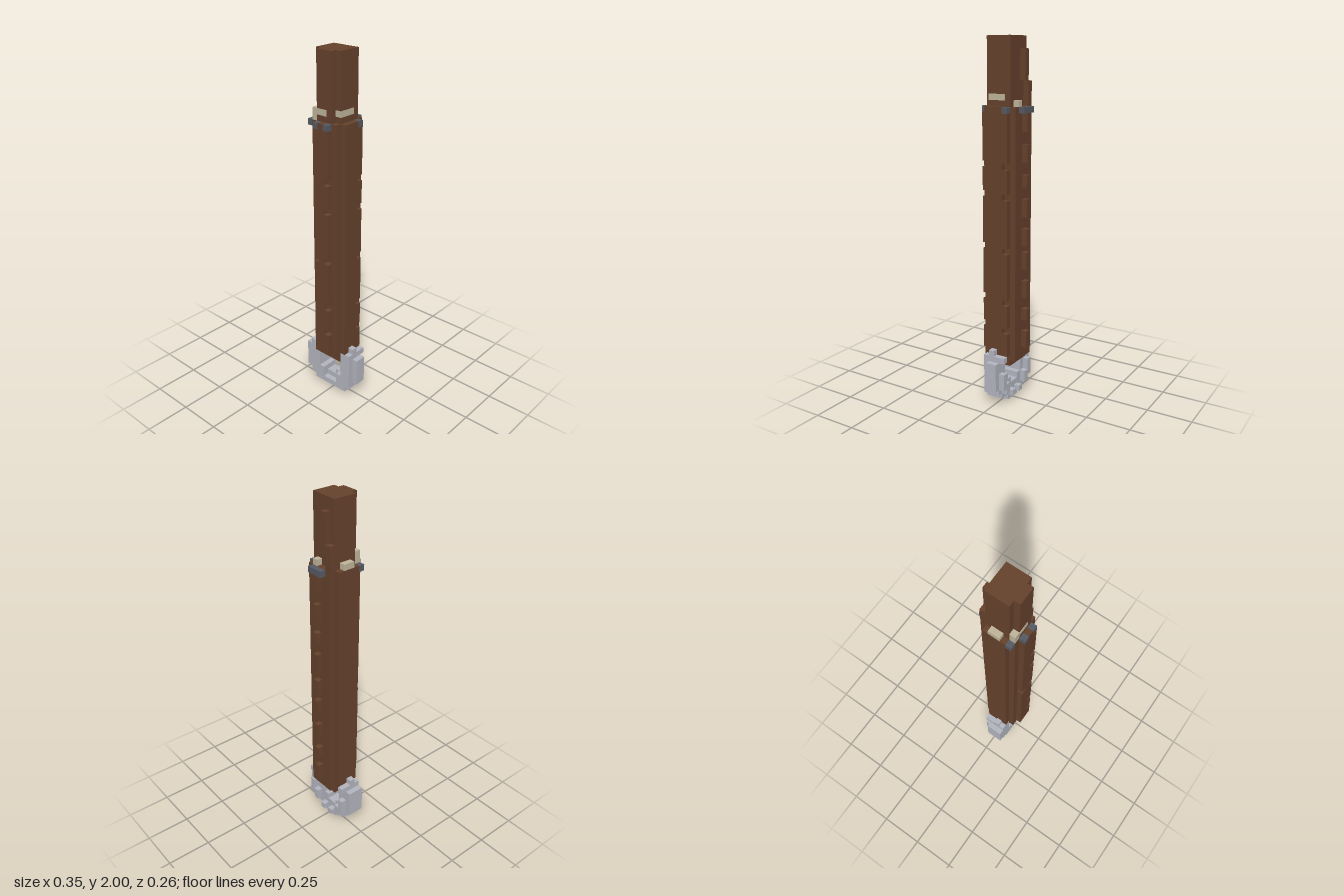
import * as THREE from 'three';

const V = 2 / 62; // edge of one block

export function createModel() {
  const model = new THREE.Group();
  const mat = (name, color) => {
    const m = new THREE.MeshStandardMaterial({ color });
    m.name = name;
    return m;
  };
  const wood = mat('brown wood', 0x65412c);
  const steel = mat('light steel', 0xb3b5bf);
  const iron = mat('dark iron', 0x565a62);
  const cream = mat('cream binding', 0xbfb49a);

  const group = (name) => {
    const g = new THREE.Group();
    g.name = name;
    model.add(g);
    return g;
  };
  // box from block ranges
  const block = (parent, name, m, x0, x1, y0, y1, z0, z1) => {
    const mesh = new THREE.Mesh(new THREE.BoxGeometry((x1 - x0) * V, (y1 - y0) * V, (z1 - z0) * V), m);
    mesh.position.set((x0 + x1) / 2 * V, (y0 + y1) / 2 * V, (z0 + z1) / 2 * V);
    mesh.name = name;
    parent.add(mesh);
  };
  // vertical strip one block wide, broken by one-block notches
  const strip = (parent, name, x, z, y0, y1, notches) => {
    let from = y0;
    for (const n of [...notches, y1]) {
      block(parent, name, wood, x, x + 1, from, n, z, z + 1);
      from = n + 1;
    }
  };

  // main grip, stepped to a rounded section
  const grip = group('grip');
  block(grip, 'gripCore', wood, -2.5, 2.5, 8, 51, -3, 3);
  block(grip, 'gripSideRight', wood, -3.5, -2.5, 9, 51, -2, 2);
  block(grip, 'gripSideLeft', wood, 2.5, 3.5, 9, 51, -1, 2);
  block(grip, 'gripFoot', wood, -2.5, 2.5, 7, 8, -2, 2);
  const notches = [13, 18, 27, 36, 41];
  strip(grip, 'backCornerStrip', 2.5, -2, 9, 50, notches);
  strip(grip, 'frontStrip', 0.5, 3, 9, 50, notches);
  strip(grip, 'frontStrip', -0.5, 3, 9, 51, []);
  strip(grip, 'frontStrip', -1.5, 3, 9, 50, [27]);

  // row of finger ridges along the back
  const ridges = group('backRidges');
  const spans = [[10, 13], [15, 17], [19, 22], [24, 27], [28, 31], [33, 36], [38, 40], [42, 45], [47, 50]];
  for (const [a, b] of spans) block(ridges, 'ridge', wood, -0.5, 0.5, a, b, -4, -3);

  // dark collar pieces at the top of the grip
  const collar = group('collar');
  block(collar, 'collarBack', iron, -1.5, 1.5, 50, 51, -4, -3);
  block(collar, 'collarCorner', iron, 2.5, 3.5, 50, 51, -2, -1);
  block(collar, 'collarCorner', iron, -3.5, -2.5, 50, 51, 2, 3);
  for (const x of [-1.5, 0.5]) block(collar, 'collarFront', iron, x, x + 1, 50, 51, 3, 4);

  // thinner upper shaft with a stepped ridge behind
  const shaft = group('upperShaft');
  block(shaft, 'shaftCore', wood, -2.5, 2.5, 51, 62, -2, 2);
  block(shaft, 'shaftFront', wood, -1.5, 1.5, 51, 62, 2, 3);
  block(shaft, 'shaftRidgeHigh', wood, -1.5, -0.5, 55, 60, -3, -2);
  block(shaft, 'shaftRidgeLow', wood, -2.5, -1.5, 51, 55, -3, -2);

  // cream binding: loose blocks and flush plates
  const binding = group('binding');
  block(binding, 'bindingBlock', cream, -3.5, -2.5, 51, 52, -1, 1);
  block(binding, 'bindingBlock', cream, -2.5, -1.5, 51, 53, 2, 3);
  block(binding, 'bindingBlock', cream, 0.5, 1.5, 51, 52, -3, -2);
  block(binding, 'bindingPlateFront', cream, -1.5, 0.5, 52, 53, 2.95, 3.06);
  block(binding, 'bindingPlateCorner', cream, 1.5, 2.5, 52, 53, 1.95, 2.06);
  block(binding, 'bindingPlateLeft', cream, 2.45, 2.56, 52, 53, -1, 2);

  // steel ring at the foot
  const ring = group('ring');
  block(ring, 'ringBottom', steel, -1.5, 1.5, 0, 1, -1, 1);
  block(ring, 'ringLower', steel, -3.5, 3.5, 1, 2, -1, 2);
  block(ring, 'ringFloor', steel, -3.5, 3.5, 2, 3, -1, 1);
  for (const s of [-1, 1]) {
    const side = (name, a, b, ...r) => block(ring, name, steel, Math.min(s * a, s * b), Math.max(s * a, s * b), ...r);
    side('ringOuter', 4.5, 5.5, 3, 8, -1, s < 0 ? 2 : 1);
    side('ringWall', 3.5, 4.5, 2, 9, -1, 2);
    side('ringTip', 3.5, 4.5, 9, 10, 0, 1);
    side('ringInner', 2.5, 3.5, 2, 9, -1, 2);
    side('ringFillet', 1.5, 2.5, 2, 4, -1, 2);
    side('ringStudHigh', 3.5, 4.5, 3, 6, -2, -1);
    side('ringStudTop', 3.5, 4.5, 8, 9, -2, -1);
    side('ringStudLow', 2.5, 3.5, 2, 4, -2, -1);
    side('ringStudFoot', 0.5, 1.5, 1, 2, -2, -1);
  }
  block(ring, 'ringNub', steel, 0.5, 1.5, 3, 4, -1, 1);
  block(ring, 'ringNub', steel, 1.5, 2.5, 4, 5, -1, 1);
  return model;
}
